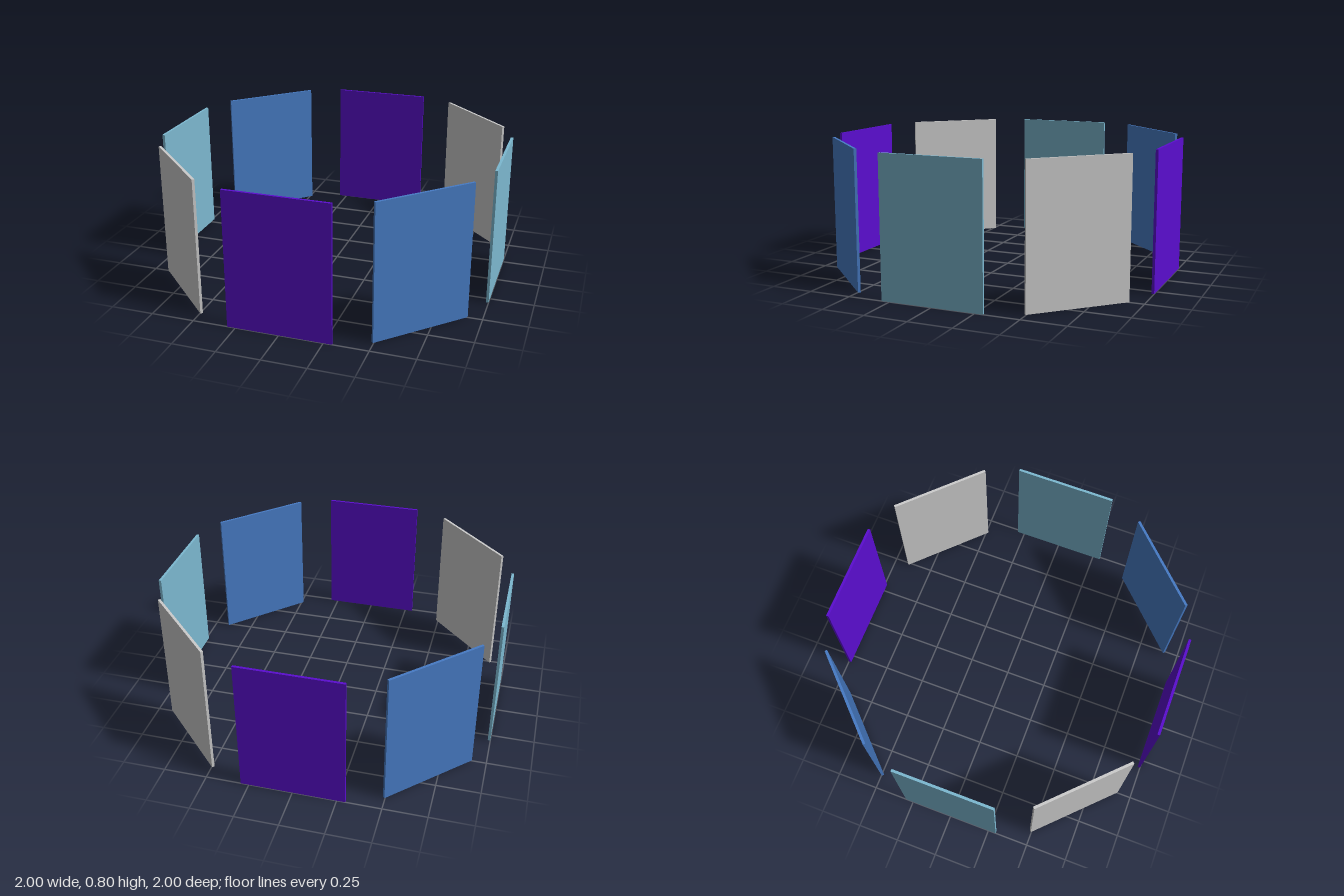
import * as THREE from 'three';

export function createModel() {
  const model = new THREE.Group();
  const width = 0.595, height = 0.795, thickness = 0.015;
  const ringRadius = 1 - thickness / 2;

  // Four finishes, repeated on opposite sides of the ring
  const finishes = [
    ['purplePanel', 0x5a0dce],
    ['bluePanel', 0x477bc4],
    ['tealPanel', 0x7cb8d0],
    ['greyPanel', 0xcccccc],
  ].map(([name, color]) => ({ name, material: new THREE.MeshStandardMaterial({ color }) }));

  // Eight upright panels facing outwards, starting at the front
  const panelGeometry = new THREE.BoxGeometry(width, height, thickness);
  for (let i = 0; i < 8; i++) {
    const angle = (i * Math.PI) / 4;
    const { name, material } = finishes[i % 4];
    const panel = new THREE.Mesh(panelGeometry, material);
    panel.name = name + (i < 4 ? 'Front' : 'Back');
    panel.position.set(Math.sin(angle) * ringRadius, height / 2, Math.cos(angle) * ringRadius);
    panel.rotation.y = angle;
    model.add(panel);
  }

  model.name = 'panelRing';
  return model;
}
